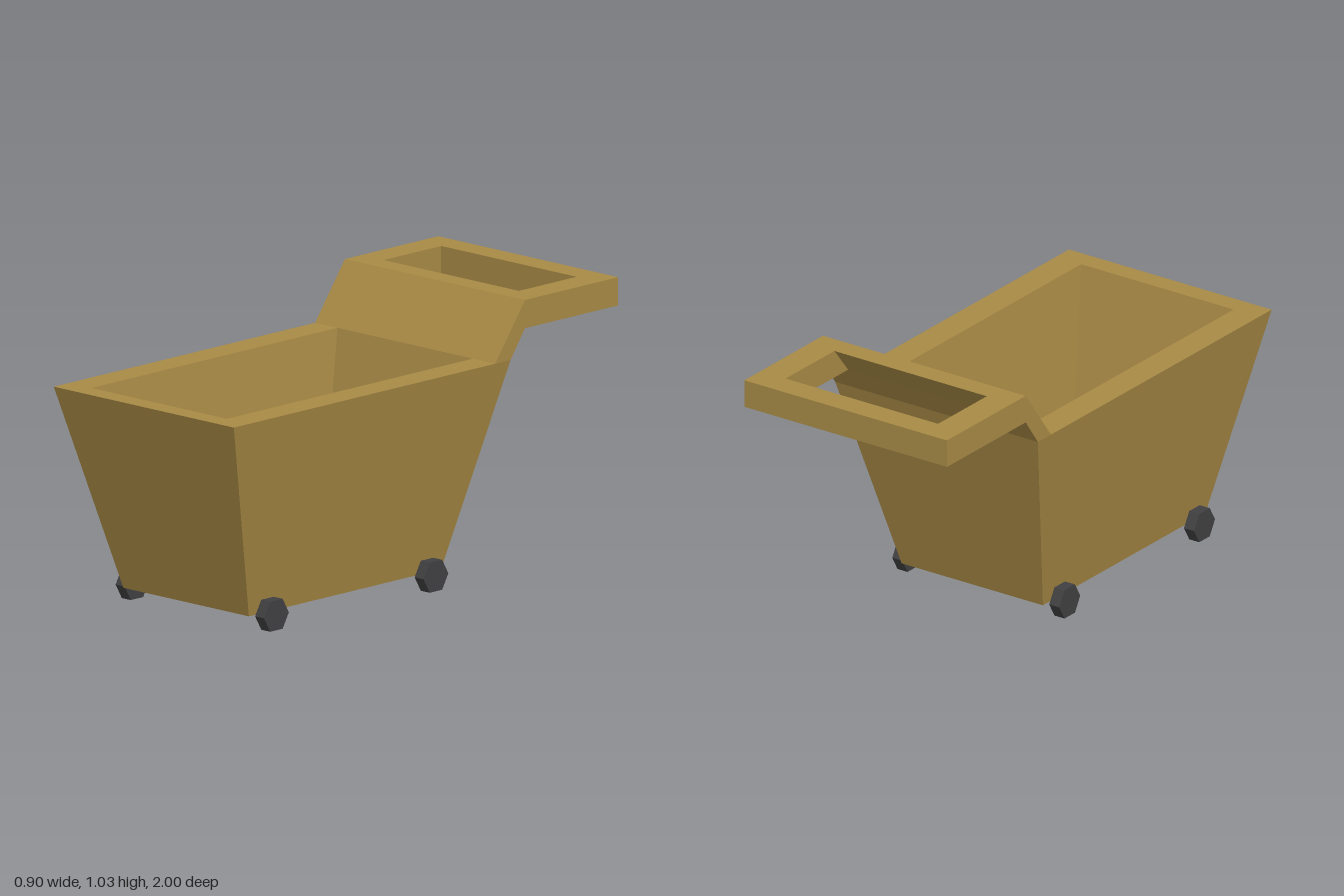
import * as THREE from 'three';

const wood = new THREE.MeshStandardMaterial({ color: 0xa88a45, flatShading: true });
const rubber = new THREE.MeshStandardMaterial({ color: 0x404042, flatShading: true });

// Hollow tub skinned through rectangular rings: [half width, y, back z, front z]
function tubGeometry(rings) {
  const pos = [], index = [];
  for (const [w, y, z0, z1] of rings) pos.push(-w, y, z1, w, y, z1, w, y, z0, -w, y, z0);
  for (let r = 0; r < rings.length - 1; r++) {
    for (let i = 0; i < 4; i++) {
      const a = r * 4 + i, b = r * 4 + (i + 1) % 4;
      index.push(a, b, b + 4, a, b + 4, a + 4);
    }
  }
  const f = (rings.length - 1) * 4;
  index.push(0, 2, 1, 0, 3, 2); // underside
  index.push(f, f + 1, f + 2, f, f + 2, f + 3); // inner floor
  const g = new THREE.BufferGeometry();
  g.setAttribute('position', new THREE.Float32BufferAttribute(pos, 3));
  g.setIndex(index);
  const flat = g.toNonIndexed();
  flat.computeVertexNormals();
  return flat;
}

// Side profile of [z, y] points extruded across the width from x0 to x1
function slab(name, profile, x0, x1) {
  const shape = new THREE.Shape(profile.map(([z, y]) => new THREE.Vector2(-z, y)));
  const g = new THREE.ExtrudeGeometry(shape, { depth: x1 - x0, bevelEnabled: false });
  g.rotateY(Math.PI / 2).translate(x0, 0, 0);
  const mesh = new THREE.Mesh(g, wood);
  mesh.name = name;
  return mesh;
}

export function createModel() {
  const cart = new THREE.Group();
  cart.name = 'pushCart';

  // Tapered tub with thick walls
  const tub = new THREE.Mesh(tubGeometry([
    [0.315, 0.057, -0.22, 0.78],
    [0.452, 0.82, -0.44, 1.0],
    [0.34, 0.82, -0.36, 0.92],
    [0.245, 0.15, -0.185, 0.735],
  ]), wood);
  tub.name = 'tub';
  cart.add(tub);

  // Push handle: sloping neck, two side rails and a rear grip
  const handle = new THREE.Group();
  handle.name = 'handle';
  handle.add(slab('handleNeck',
    [[-0.36, 0.82], [-0.515, 1.03], [-0.6, 1.03], [-0.515, 0.925], [-0.44, 0.82]], -0.34, 0.34));
  const rail = [[-0.36, 0.82], [-0.515, 1.03], [-1, 1.03], [-1, 0.925], [-0.515, 0.925], [-0.44, 0.82]];
  handle.add(slab('rightRail', rail, -0.452, -0.34));
  handle.add(slab('leftRail', rail, 0.34, 0.452));
  handle.add(slab('handleGrip',
    [[-0.9, 0.925], [-0.9, 1.03], [-1, 1.03], [-1, 0.925]], -0.34, 0.34));
  cart.add(handle);

  // Four six-sided wheels
  const wheelGeometry = new THREE.CylinderGeometry(0.0645, 0.0645, 0.045, 6).rotateZ(Math.PI / 2);
  for (const [end, z] of [['front', 0.696], ['back', -0.134]]) {
    for (const [side, s] of [['Left', 1], ['Right', -1]]) {
      const wheel = new THREE.Mesh(wheelGeometry, rubber);
      wheel.name = `${end}${side}Wheel`;
      wheel.position.set(s * 0.35, 0.056, z);
      cart.add(wheel);
    }
  }
  return cart;
}
